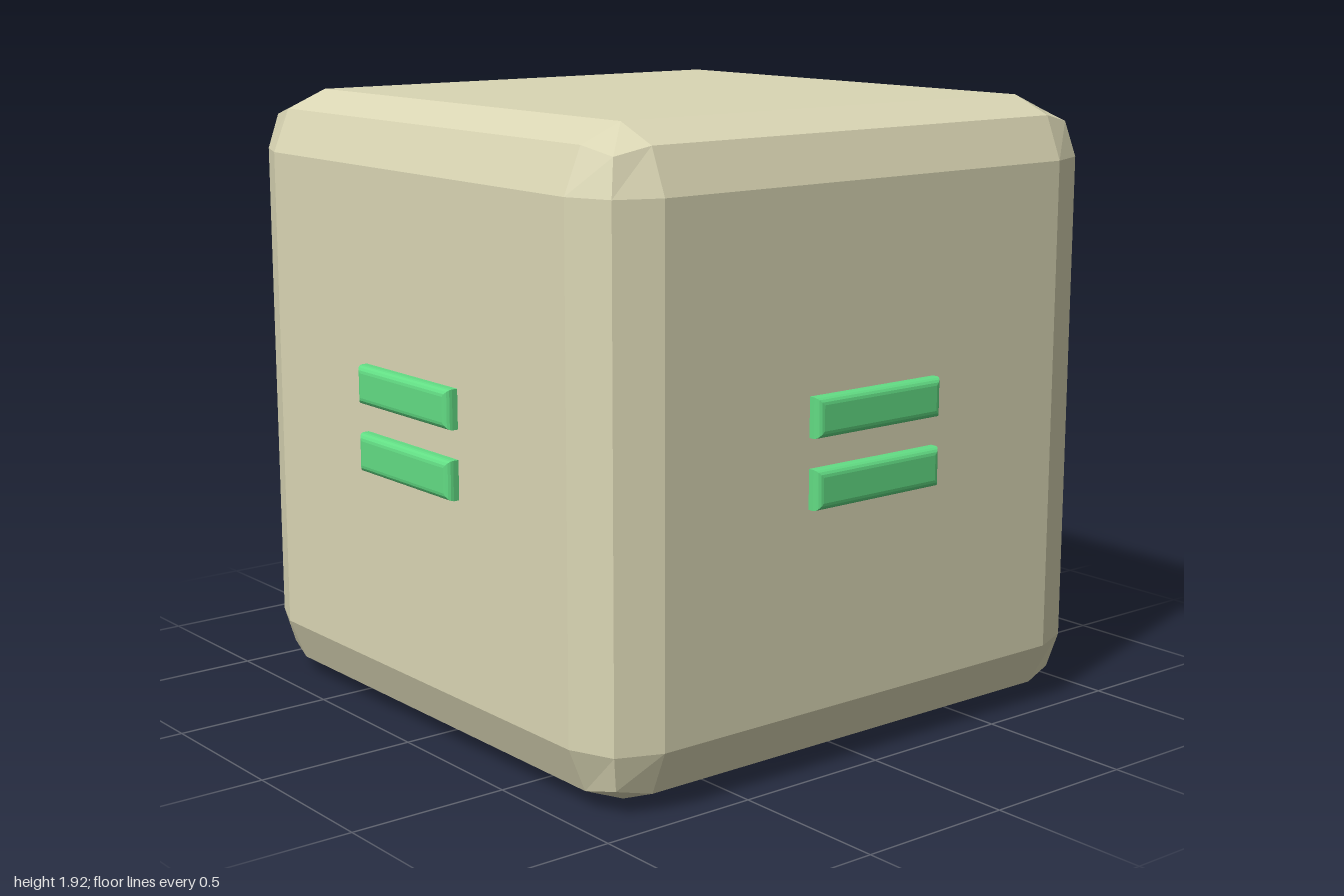
import * as THREE from 'three';
import { RoundedBoxGeometry } from 'three/addons/geometries/RoundedBoxGeometry.js';

const SIZE = 1.92, HALF = SIZE / 2;

// Horizontal bar facing +z, with a rounded rim on its outer face
function barGeometry(width, height, depth, bevel) {
  const w = width / 2 - bevel, h = height / 2 - bevel;
  const shape = new THREE.Shape();
  shape.moveTo(-w, -h).lineTo(w, -h).lineTo(w, h).lineTo(-w, h).closePath();
  return new THREE.ExtrudeGeometry(shape, {
    depth: depth - 2 * bevel,
    bevelEnabled: true,
    bevelThickness: bevel,
    bevelSize: bevel,
    bevelSegments: 4,
  }).translate(0, 0, bevel - depth);
}

export function createModel() {
  const model = new THREE.Group();
  model.name = 'markedCube';

  // Cube with a two-facet bevel
  const stone = new THREE.MeshStandardMaterial({ color: 0xdad6b4, flatShading: true });
  const body = new THREE.Mesh(new RoundedBoxGeometry(SIZE, SIZE, SIZE, 1, 0.19), stone);
  body.name = 'body';
  body.position.y = HALF;
  model.add(body);

  // Two parallel bars on each of the four sides
  const green = new THREE.MeshStandardMaterial({ color: 0x62dd84 });
  const bar = barGeometry(0.49, 0.12, 0.1, 0.022);
  ['front', 'left', 'back', 'right'].forEach((side, i) => {
    const marking = new THREE.Group();
    marking.name = `${side}Marking`;
    marking.rotation.y = (i * Math.PI) / 2;
    for (const [name, y] of [['lowerBar', 0.86], ['upperBar', 1.07]]) {
      const mesh = new THREE.Mesh(bar, green);
      mesh.name = name;
      mesh.position.set(0, y, 1);
      marking.add(mesh);
    }
    model.add(marking);
  });

  return model;
}
